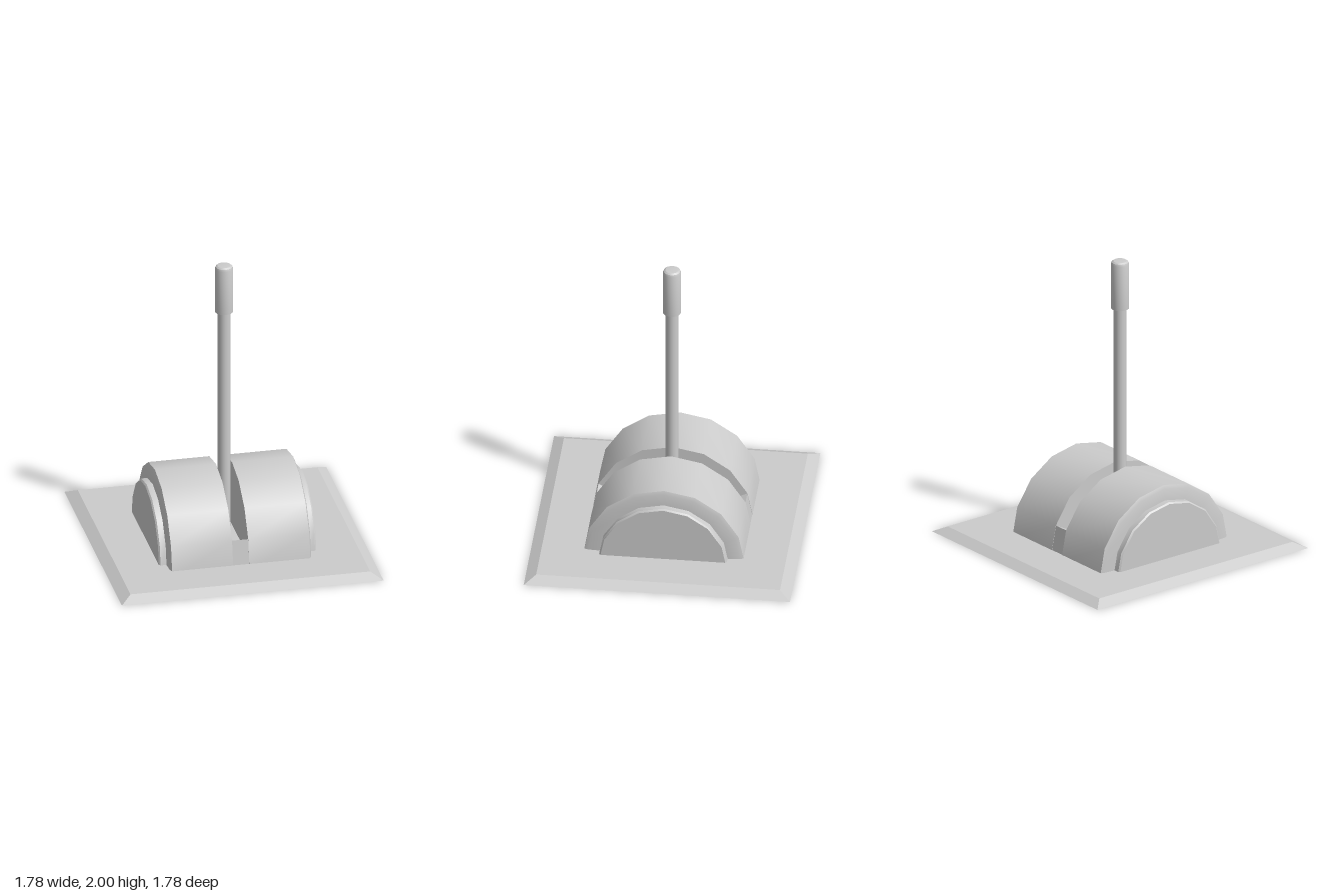
import * as THREE from 'three';
import { toCreasedNormals } from 'three/addons/utils/BufferGeometryUtils.js';

const material = new THREE.MeshStandardMaterial({ color: 0xcccccc });

function part(name, geometry) {
  const mesh = new THREE.Mesh(geometry, material);
  mesh.name = name;
  return mesh;
}

// Revolve [radius, height] pairs with sharp edges kept
function turned(profile, segments, start = 0, length = Math.PI * 2) {
  const points = profile.map(([r, h]) => new THREE.Vector2(r, h));
  return toCreasedNormals(new THREE.LatheGeometry(points, segments, start, length), 0.5);
}

export function createModel() {
  const group = new THREE.Group();

  // Square base plate with sloping edges: a four-sided frustum
  const plate = new THREE.CylinderGeometry(0.815 * Math.SQRT2, 0.89 * Math.SQRT2, 0.04, 4, 1);
  plate.rotateY(Math.PI / 4).translate(0, 0.02, 0);
  group.add(part('basePlate', toCreasedNormals(plate, 0.3)));

  // Half drums on either side of the slot, each with a raised end disc
  const drumProfile = [
    [0.001, 0.055], [0.54, 0.055], [0.54, 0.47], [0.515, 0.48], [0.435, 0.485],
    [0.435, 0.525], [0.425, 0.535], [0.001, 0.535],
  ];
  for (const [name, turn] of [['leftDrum', 0], ['rightDrum', Math.PI]]) {
    const drum = turned(drumProfile, 8, Math.PI, Math.PI);
    drum.rotateZ(-Math.PI / 2).rotateY(turn);
    group.add(part(name, drum));
  }

  // Slot floor: a dished strip between the drums
  const section = [
    [-0.535, 0.02], [0.535, 0.02], [0.53, 0.04], [0.497, 0.207],
    [0.25, 0.08], [-0.25, 0.08], [-0.497, 0.207], [-0.53, 0.04],
  ];
  const floorShape = new THREE.Shape(section.map(([z, y]) => new THREE.Vector2(z, y)));
  const floor = new THREE.ExtrudeGeometry(floorShape, { depth: 0.11, bevelEnabled: false });
  floor.translate(0, 0, -0.055).rotateY(Math.PI / 2);
  group.add(part('slotFloor', floor));

  // Lever rod standing in the slot
  const rod = new THREE.CylinderGeometry(0.042, 0.042, 1.61, 20);
  rod.translate(0, 0.865, 0);
  group.add(part('leverRod', rod));

  // Hand grip with a rounded top edge
  const grip = turned([
    [0.001, 1.66], [0.061, 1.66], [0.061, 1.975], [0.056, 1.99],
    [0.045, 1.998], [0.03, 2], [0.001, 2],
  ], 20);
  group.add(part('leverGrip', grip));

  return group;
}
